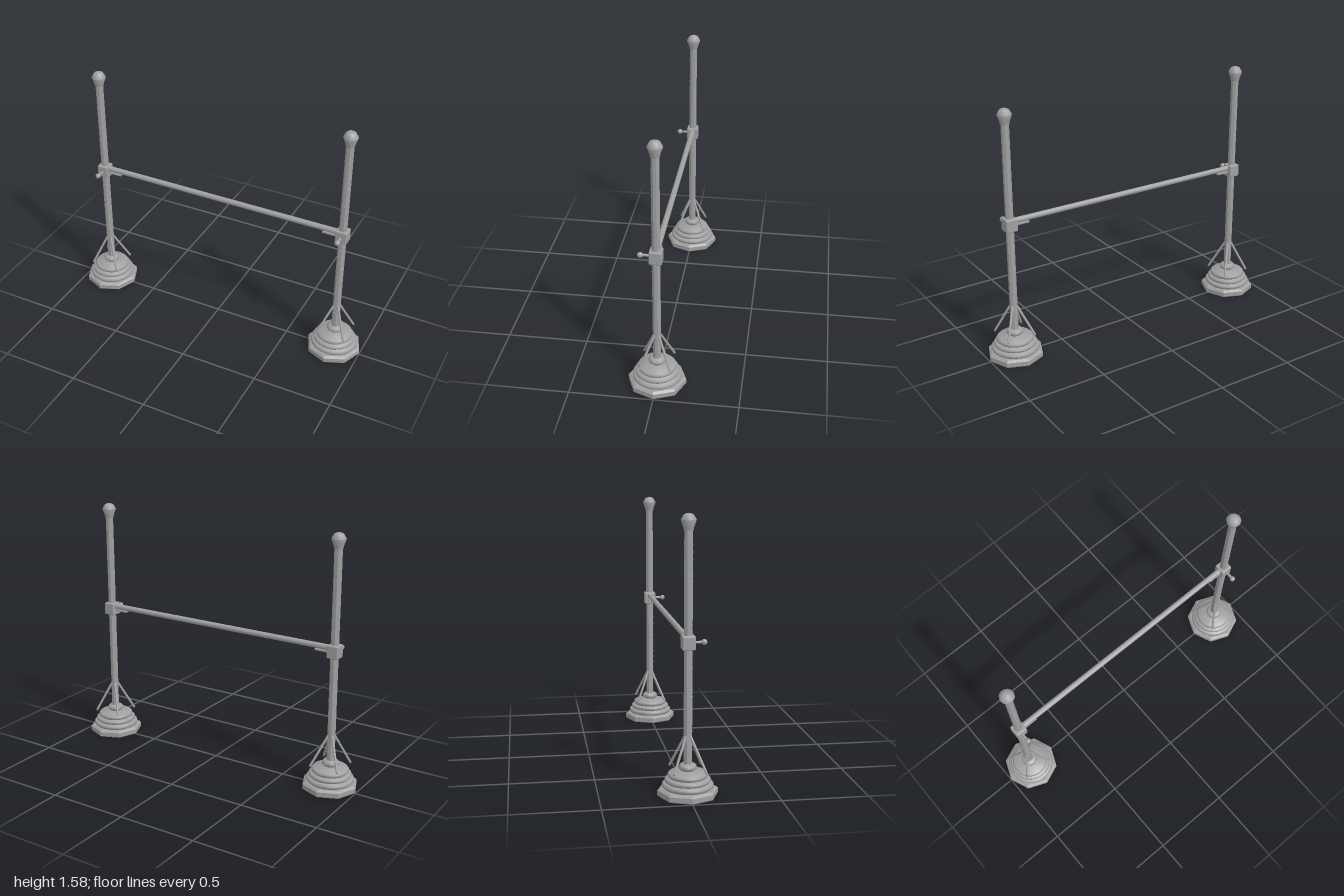
import * as THREE from 'three';
import { toCreasedNormals } from 'three/addons/utils/BufferGeometryUtils.js';
import { RoundedBoxGeometry } from 'three/addons/geometries/RoundedBoxGeometry.js';

const grey = new THREE.MeshStandardMaterial({ color: 0xa0a0a0 });
grey.name = 'grey metal';

const POST_X = 0.827;

function add(parent, name, geometry, x = 0, y = 0, z = 0) {
  const mesh = new THREE.Mesh(geometry, grey);
  mesh.name = name;
  mesh.position.set(x, y, z);
  parent.add(mesh);
  return mesh;
}

// Turned part from [radius, height] pairs listed from bottom to top
function turned(points, sides, crease = 0.6) {
  const profile = points.map(([r, y]) => new THREE.Vector2(r, y));
  return toCreasedNormals(new THREE.LatheGeometry(profile, sides), crease);
}

// Disc with rounded rim
function disc(r, y0, y1) {
  const b = (y1 - y0) * 0.3;
  return turned([[0, y0], [r - b, y0], [r, y0 + b], [r, y1 - b], [r - b, y1], [0, y1]], 32, 0.9);
}

// Straight round rod between two points
function rod(a, b, radius, sides = 10) {
  return new THREE.TubeGeometry(new THREE.LineCurve3(a, b), 1, radius, sides);
}

function createStand() {
  const stand = new THREE.Group();

  // Octagonal foot and stacked weights
  add(stand, 'foot', turned([[0, 0], [0.168, 0], [0.173, 0.006], [0.173, 0.034], [0.158, 0.045], [0, 0.046]], 8, 0.3));
  [[0.146, 0.046, 0.077], [0.13, 0.077, 0.105], [0.113, 0.105, 0.135]].forEach(([r, y0, y1], i) =>
    add(stand, `weight${i + 1}`, disc(r, y0, y1)));
  add(stand, 'collar', disc(0.05, 0.146, 0.183));

  // Octagonal post, flat side forward
  const post = add(stand, 'post', toCreasedNormals(new THREE.CylinderGeometry(0.0245, 0.0245, 1.355, 8), 0.3), 0, 0.8225);
  post.rotation.y = Math.PI / 8;

  // Finial on top
  add(stand, 'finial', turned([[0, 1.486], [0.027, 1.486], [0.03, 1.503], [0.044, 1.543],
    [0.028, 1.571], [0.012, 1.578], [0, 1.579]], 16, 0.9));

  // Diagonal braces
  for (const sx of [-1, 1]) for (const sz of [-1, 1]) {
    const top = new THREE.Vector3(sx * 0.014, 0.34, sz * 0.014);
    const bottom = new THREE.Vector3(sx * 0.09, 0.152, sz * 0.09);
    add(stand, 'brace', rod(top, bottom, 0.0075));
    for (const end of [top, bottom]) add(stand, 'braceEnd', new THREE.SphereGeometry(0.0075, 10, 6), end.x, end.y, end.z);
  }

  // Height scale: raised marks up the front
  for (let i = 0; i <= 28; i++) {
    const width = i % 4 === 0 ? 0.017 : 0.01;
    add(stand, 'scaleMark', new THREE.BoxGeometry(width, 0.004, 0.003), -0.0085 + width / 2, 0.29 + i * 0.04, 0.0235);
  }

  // Sliding clamp with thumb screw
  add(stand, 'clamp', new RoundedBoxGeometry(0.074, 0.08, 0.074, 2, 0.007), 0, 0.873, 0);
  add(stand, 'screw', rod(new THREE.Vector3(0, 0.873, 0.03), new THREE.Vector3(0, 0.873, 0.085), 0.008));
  add(stand, 'screwKnob', new THREE.SphereGeometry(0.017, 14, 10), 0, 0.873, 0.09);
  return stand;
}

export function createModel() {
  const model = new THREE.Group();
  model.name = 'highJumpStand';

  for (const side of [-1, 1]) {
    const stand = createStand();
    stand.name = side < 0 ? 'rightStand' : 'leftStand';
    stand.position.x = side * POST_X;
    model.add(stand);

    // Flat ledge holding the bar
    add(model, 'barRest', new THREE.BoxGeometry(0.1, 0.01, 0.032), side * 0.753, 0.867, 0);
  }

  // Crossbar
  const bar = add(model, 'crossbar', new THREE.CylinderGeometry(0.0175, 0.0175, 1.58, 14), 0, 0.89, 0);
  bar.rotation.z = Math.PI / 2;
  return model;
}
